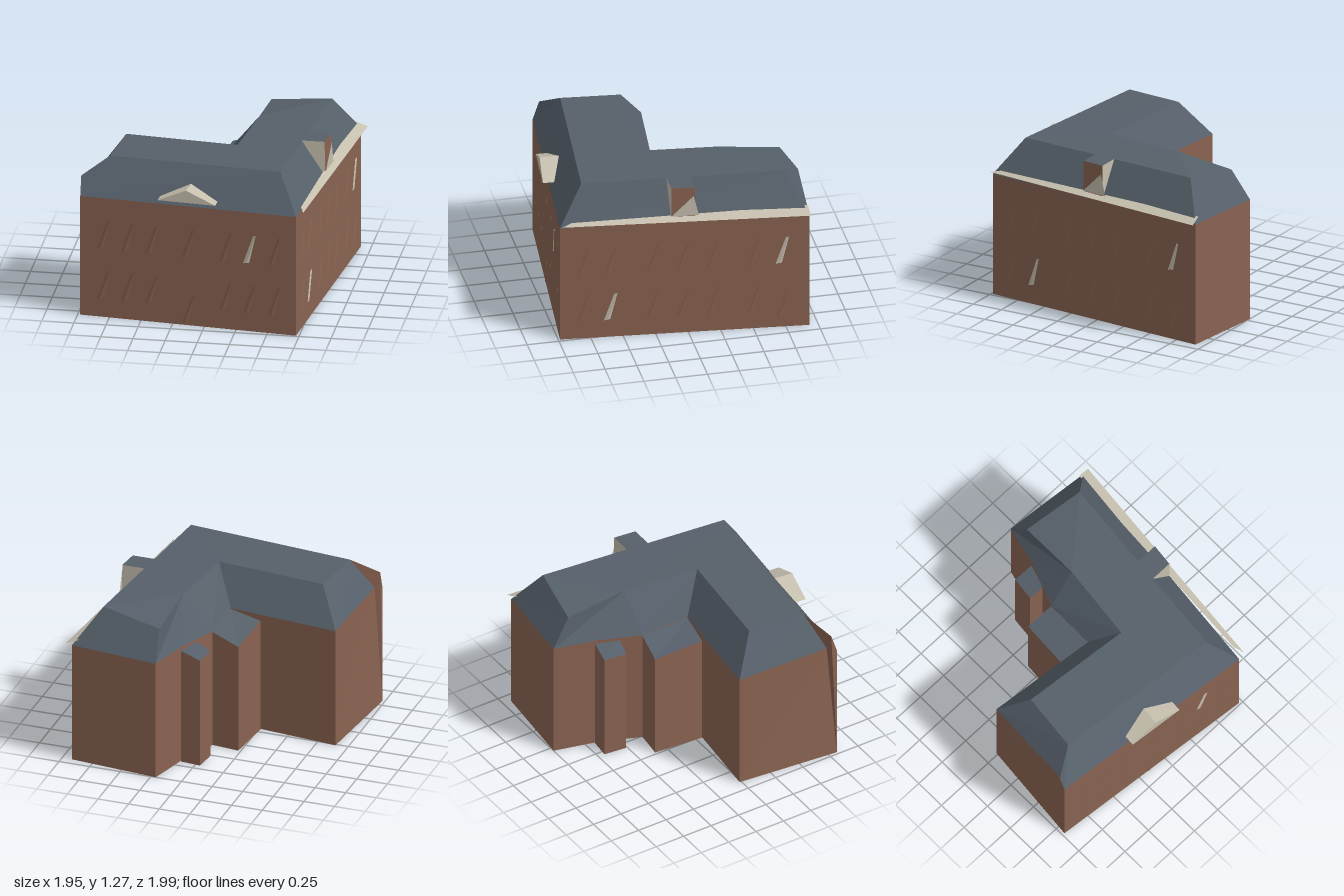
import * as THREE from 'three';

const material = (name, color) => {
  const m = new THREE.MeshStandardMaterial({ color, side: THREE.DoubleSide });
  m.name = name;
  return m;
};

// One flat-faced mesh from a list of convex polygons
function faces(name, mat, polygons) {
  const pos = [];
  for (const p of polygons) {
    for (let i = 1; i < p.length - 1; i++) pos.push(...p[0], ...p[i], ...p[i + 1]);
  }
  const g = new THREE.BufferGeometry();
  g.setAttribute('position', new THREE.Float32BufferAttribute(pos, 3));
  g.computeVertexNormals();
  const mesh = new THREE.Mesh(g, mat);
  mesh.name = name;
  return mesh;
}

const ground = ([x, , z]) => [x, 0, z];
const wall = (a, b) => [ground(a), ground(b), b, a];

export function createModel() {
  const brick = material('brick', 0x8a6351);
  const slate = material('slate', 0x56606a);
  const stone = material('pale stone', 0xc6bfae);
  const model = new THREE.Group();
  model.name = 'cornerBuilding';
  const add = (...args) => model.add(faces(...args));

  // Eave corners of the L-shaped plan
  const A = [-0.98, 0.98, 0.82], B = [0.725, 0.98, 0.987], C = [0.92, 0.98, -0.93];
  const D = [0.21, 0.975, -1], P = [0.12, 0.975, -0.65], E = [-0.01, 0.975, -0.33];
  const I = [-0.01, 0.98, 0.08], F = [-0.9, 0.98, -0.015];
  const G = [-0.94, 1.0, 0.76], Q = [-0.98, 1.13, 0.77];
  // Upper roof edge
  const R1 = [0.235, 1.2, -0.85], R2 = [0.72, 1.27, -0.77], R3 = [0.57, 1.265, 0.785];
  const R4 = [-0.775, 1.26, 0.65], R5 = [-0.725, 1.26, 0.185];
  const R6 = [0.155, 1.26, 0.275], R7 = [0.225, 1.26, -0.345];

  // Walls, open underneath, with the raised left gable
  const loop = [A, B, C, D, P, E, I, F];
  const walls = [];
  for (let i = 0; i < loop.length - 1; i++) walls.push(wall(loop[i], loop[i + 1]));
  walls.push([ground(F), ground(A), G, F], [ground(A), A, Q, R4, G]);
  add('walls', brick, walls);

  // Roof: flat top and sloping sides
  add('roofTop', slate, [[R7, R1, R2], [R7, R2, R3, R6], [R3, R4, R5, R6]]);
  add('roofSlopes', slate, [
    [A, B, R3, R4, Q], [B, C, R2, R3], [C, D, R1, R2], [D, P, R7, R1],
    [P, E, R7], [E, I, R6, R7], [I, F, R5, R6], [F, G, R4, R5],
  ]);

  // Annexes in the inner corner
  const annex = (name, top) => {
    const sides = top.map((p, i) => wall(p, top[(i + 1) % 4]));
    add(name + 'Walls', brick, sides);
    add(name + 'Roof', slate, [top]);
  };
  annex('smallAnnex', [[-0.04, 0.9, -0.695], [0.12, 0.95, -0.68], [0.06, 0.95, -0.49], [-0.06, 0.9, -0.51]]);
  annex('largeAnnex', [[-0.23, 0.89, -0.355], [-0.01, 0.97, -0.33], [-0.01, 0.975, 0.08], [-0.265, 0.93, 0.05]]);

  // Front gable dormer
  const gl = [-0.36, 1.03, 0.935], gr = [0.095, 1.03, 0.98], gp = [-0.135, 1.13, 0.955];
  const bl = [-0.355, 1.03, 0.84], br = [0.1, 1.03, 0.885], bp = [-0.12, 1.13, 0.8];
  add('frontDormer', stone, [[gl, gr, gp], [gl, gp, bp, bl], [gr, br, bp, gp]]);

  // Flat-topped side dormer
  const f1 = [0.808, 1.27, 0.13], f2 = [0.828, 1.27, -0.05];
  const k1 = [0.63, 1.27, 0.13], k2 = [0.65, 1.27, -0.05];
  const d1 = [0.812, 0.99, 0.13], d2 = [0.832, 0.99, -0.05];
  add('sideDormerRoof', slate, [[k1, f1, f2, k2]]);
  add('sideDormerFront', brick, [[d1, d2, f2, f1]]);
  add('sideDormerCheeks', stone, [[k1, d1, f1], [k2, f2, d2]]);
  add('sideDormerPanel', stone, [[[0.818, 1.03, 0.13], [0.842, 1.03, -0.08], [0.836, 1.2, -0.04]]]);

  // Tapering gutter on the right eave
  add('gutter', stone, [
    [[0.78, 1.015, 0.98], [0.97, 0.99, -0.935], [0.87, 1.03, -0.93], [0.75, 1.03, 0.9]],
  ]);

  // Windows: a pane on the inner side and a slanted fold outside
  const windowAt = (name, from, to, t, y, outer, inner) => {
    const u = new THREE.Vector3(to[0] - from[0], 0, to[2] - from[2]).normalize();
    const n = new THREE.Vector3(-u.z, 0, u.x);
    const o = new THREE.Vector3(from[0], y, from[2]).lerp(new THREE.Vector3(to[0], y, to[2]), t);
    const at = (a, b, d) => [o.x + u.x * a + n.x * d, o.y + b, o.z + u.z * a + n.z * d];
    add(name + 'Pane', inner, [[
      at(-0.065, -0.09, -0.005), at(-0.04, -0.125, -0.005), at(0.055, -0.125, -0.005),
      at(0.065, 0.09, -0.005), at(0.04, 0.125, -0.005), at(-0.06, 0.125, -0.005),
    ]]);
    const p = at(-0.05, -0.12, 0.001), q = at(-0.02, -0.11, 0.008);
    const r = at(0.055, 0.12, 0.009), s = at(0.03, 0.11, 0.001);
    add(name + 'Fold', outer, [[p, q, r], [p, r, s], [q, at(0, -0.11, 0.001), r]]);
  };

  const frontX = [-0.8, -0.61, -0.42, -0.13, 0.165, 0.355, 0.55];
  const sideZ = [0.81, 0.6, 0.275, 0.045, -0.185, -0.5, -0.72];
  for (let i = 0; i < 7; i++) {
    const tf = (frontX[i] - A[0]) / (B[0] - A[0]);
    const ts = (sideZ[i] - B[2]) / (C[2] - B[2]);
    windowAt('frontUpperWindow', A, B, tf, 0.675, i === 5 ? stone : brick, slate);
    windowAt('frontLowerWindow', A, B, tf, i === 3 ? 0.125 : 0.265, brick, i === 1 ? stone : slate);
    windowAt('sideUpperWindow', B, C, ts, 0.675, i === 6 ? stone : brick, slate);
    windowAt('sideLowerWindow', B, C, ts, i === 6 ? 0.2 : 0.265, i === 1 ? stone : brick, slate);
  }
  return model;
}
